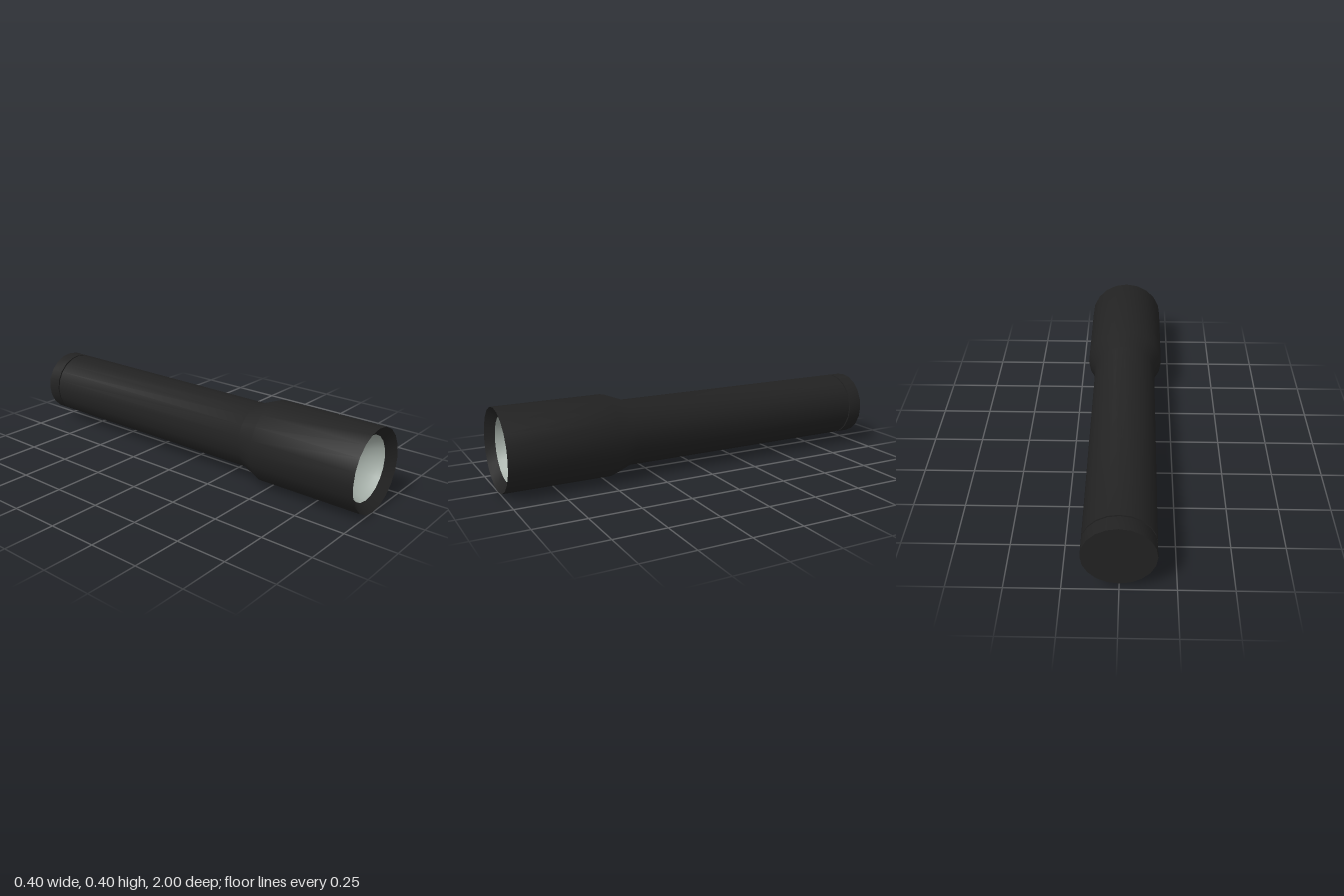
import * as THREE from 'three';
import { toCreasedNormals } from 'three/addons/utils/BufferGeometryUtils.js';

const SIDES = 20;
const AXIS_Y = 0.2025;

// Turned part along the z axis; profile is a list of [radius, z], walked back to front on the outside.
function turned(name, profile, material, crease) {
  const points = profile.map(([r, z]) => new THREE.Vector2(r, z));
  let geometry = new THREE.LatheGeometry(points, SIDES);
  if (crease) geometry = toCreasedNormals(geometry, crease);
  geometry.rotateX(Math.PI / 2);
  const mesh = new THREE.Mesh(geometry, material);
  mesh.name = name;
  mesh.position.y = AXIS_Y;
  return mesh;
}

export function createModel() {
  const black = new THREE.MeshStandardMaterial({ color: 0x222222 });
  black.name = 'black casing';
  const silver = new THREE.MeshStandardMaterial({ color: 0xa6b0a9 });
  silver.name = 'pale reflector';

  const group = new THREE.Group();
  group.name = 'flashlight';
  const crease = 0.55;

  // Screw-on tail cap, with the bottom of the groove in front of it
  group.add(turned('tailCap', [
    [0, -1], [0.163, -1], [0.163, -0.927], [0.156, -0.927], [0.156, -0.919],
  ], black, crease));

  // Handle flaring into the head, ending in a bevel that slopes in to the reflector
  group.add(turned('casing', [
    [0.156, -0.919], [0.163, -0.919], [0.163, 0.36], [0.2015, 0.46],
    [0.2015, 1], [0.157, 0.96],
  ], black, crease));

  // Smooth reflector bowl, from its rim back to its centre
  const bowl = [];
  const rim = 0.157, depth = 0.12, steps = 10;
  const sphere = (rim * rim + depth * depth) / (2 * depth);
  const span = Math.asin(rim / sphere);
  for (let i = 0; i <= steps; i++) {
    const a = span * (1 - i / steps);
    bowl.push([sphere * Math.sin(a), 0.96 - depth + sphere * (1 - Math.cos(a))]);
  }
  group.add(turned('reflector', bowl, silver));

  return group;
}
